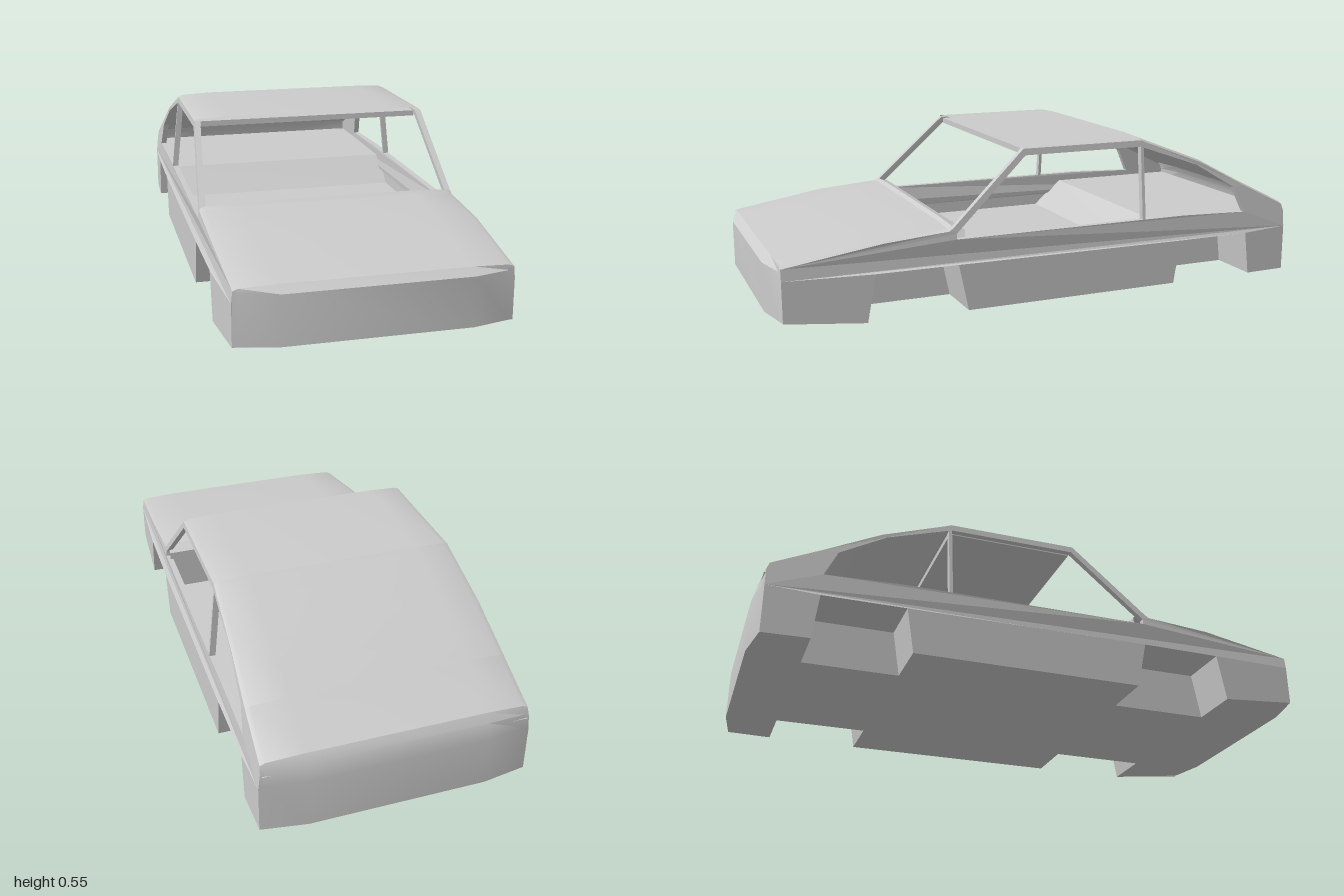
import * as THREE from 'three';
import { toCreasedNormals } from 'three/addons/utils/BufferGeometryUtils.js';

const material = new THREE.MeshStandardMaterial({ color: 0xcccccc, side: THREE.DoubleSide });

// Centre-line profiles as [z, y]
const HOOD = [[1, 0.03], [1, 0.2], [0.97, 0.222], [0.63, 0.275], [0.4, 0.293], [0.385, 0.302]];
const ROOF = [[0.115, 0.552], [-0.35, 0.552]];
const HATCH = [[-0.35, 0.552], [-0.37, 0.543], [-0.6, 0.455], [-0.79, 0.355]];
const TAIL = [[-0.79, 0.355], [-0.965, 0.268], [-0.985, 0.24], [-1, 0.18], [-1, 0]];
const SPLIT = 0.17;

// Half width of the body: tapers inward upward and toward both ends
function halfWidth(z, y) {
  const lean = y > SPLIT ? 0.04 * (y - SPLIT) / 0.365 : 0;
  const nose = 0.02 * Math.max(0, z - 0.6) / 0.37;
  const tail = 0.008 * Math.max(0, -z - 0.7) / 0.3;
  return 0.475 - lean - nose - tail;
}

// Where a profile point lands on the edge between top skin and side
function edgePoint([z, y]) {
  return [THREE.MathUtils.clamp(z, -0.975, 0.967), y > 0.2 ? y - 0.012 : y];
}

// Surface through equal-length rows of [x, y, z]
function grid(rows, crease = 0.45) {
  const n = rows[0].length;
  const index = [];
  for (let i = 0; i < rows.length - 1; i++) {
    for (let j = 0; j < n - 1; j++) {
      const a = i * n + j, b = a + n;
      index.push(a, a + 1, b, a + 1, b + 1, b);
    }
  }
  const g = new THREE.BufferGeometry();
  g.setAttribute('position', new THREE.Float32BufferAttribute(rows.flat(2), 3));
  g.setIndex(index);
  return toCreasedNormals(g, crease);
}

// Gently crowned top skin following a centre-line profile
function skin(profile) {
  return grid(profile.map(([z, y]) => {
    const [ez, ey] = edgePoint([z, y]);
    const e = halfWidth(ez, ey);
    const half = [[e, ey, ez], [e - 0.018, y - (y - ey) * 0.4, ez + (z - ez) * 0.12], [0.31, y, z]];
    const mirrored = half.map(([px, py, pz]) => [-px, py, pz]);
    return [...mirrored, ...half.reverse()];
  }));
}

// Flat strip across the car following [z, y] points
function ribbon(points, x0, x1) {
  return grid(points.map(([z, y]) => [[x0, y, z], [x1, y, z]]), 0.1);
}

function shapeOf(points) {
  return new THREE.Shape(points.map(([a, b]) => new THREE.Vector2(a, b)));
}

// Side wall: [z, y] outline given thickness and bent to the body width
function sideWall(outline, holes, depth) {
  const shape = shapeOf(outline);
  shape.holes = holes.map(shapeOf);
  const g = new THREE.ExtrudeGeometry(shape, { depth, bevelEnabled: false });
  const p = g.attributes.position;
  for (let i = 0; i < p.count; i++) {
    const z = p.getX(i), y = p.getY(i);
    p.setXYZ(i, halfWidth(z, y) - p.getZ(i), y, z);
  }
  g.computeVertexNormals();
  return g;
}

export function createModel() {
  const car = new THREE.Group();
  car.name = 'carBody';
  const add = (name, geometry, parent = car) => {
    const mesh = new THREE.Mesh(geometry, material);
    mesh.name = name;
    parent.add(mesh);
    return mesh;
  };

  // Outer skin
  add('hoodAndNose', skin(HOOD));
  add('roof', skin(ROOF));
  add('rearHatch', skin(HATCH));
  add('tail', skin(TAIL));

  // Wheel arch outlines, front to back
  const frontArch = [[0.69, 0], [0.66, 0.165], [0.37, 0.165], [0.335, 0]];
  const rearArch = [[-0.48, 0], [-0.505, 0.16], [-0.795, 0.16], [-0.815, 0]];
  const arches = [frontArch, rearArch];
  const wellX = 0.28;

  // Sides, with window openings and slim pillars
  const lower = [[0.967, SPLIT], [0.967, 0.028], ...frontArch, ...rearArch, [-0.975, 0], [-0.975, SPLIT]];
  const topEdge = [...HOOD.slice(1), ...ROOF, ...HATCH.slice(1), ...TAIL.slice(1, 4)].map(edgePoint);
  const upper = [[0.967, SPLIT], ...topEdge, [-0.975, SPLIT]];
  const frontWindow = [[0.372, 0.252], [0.372, 0.272], [0.108, 0.517], [-0.347, 0.517], [-0.347, 0.252]];
  const rearWindow = [[-0.359, 0.252], [-0.359, 0.513], [-0.58, 0.436], [-0.745, 0.338], [-0.79, 0.242], [-0.52, 0.252]];
  for (const side of [1, -1]) {
    const half = new THREE.Group();
    half.name = side > 0 ? 'leftSide' : 'rightSide';
    half.scale.x = side;
    car.add(half);
    add('lowerPanel', sideWall(lower, [], 0.015), half);
    add('windowFrame', sideWall(upper, [frontWindow, rearWindow], 0.022), half);
    for (const arch of arches) {
      add('wheelWell', ribbon(arch, wellX, 0.465), half);
      const inner = new THREE.ShapeGeometry(shapeOf(arch));
      inner.rotateY(-Math.PI / 2).translate(wellX, 0, 0);
      add('wheelWellInnerWall', inner, half);
    }
  }

  // Underside with wheel cut-outs, and the rising chin
  const edge = [];
  for (const arch of arches) {
    const a = arch[0][0], b = arch[3][0];
    edge.push([0.47, a], [wellX, a], [wellX, b], [0.475, b]);
  }
  edge.push([0.467, -0.975], [0.31, -1]);
  const mirrored = edge.map(([x, z]) => [-x, z]).reverse();
  const under = new THREE.ShapeGeometry(shapeOf([...edge, ...mirrored]));
  under.rotateX(Math.PI / 2);
  add('underside', under);
  add('chin', grid([
    [[-0.47, 0, 0.69], [-0.31, 0, 0.69], [0.31, 0, 0.69], [0.47, 0, 0.69]],
    [[-0.455, 0.029, 0.967], [-0.31, 0.03, 1], [0.31, 0.03, 1], [0.455, 0.029, 0.967]],
  ]));

  // Cabin: cowl, firewall, floor, rear step and luggage shelf
  add('cabinFloor', ribbon([[0.385, 0.295], [0.34, 0.28], [0.34, 0.12], [-0.34, 0.12], [-0.45, 0.22], [-0.98, 0.22]], -0.455, 0.455));

  // Roof lining
  const lining = new THREE.BoxGeometry(0.82, 0.02, 0.455);
  lining.translate(0, 0.526, -0.12);
  add('roofLining', lining);

  return car;
}
